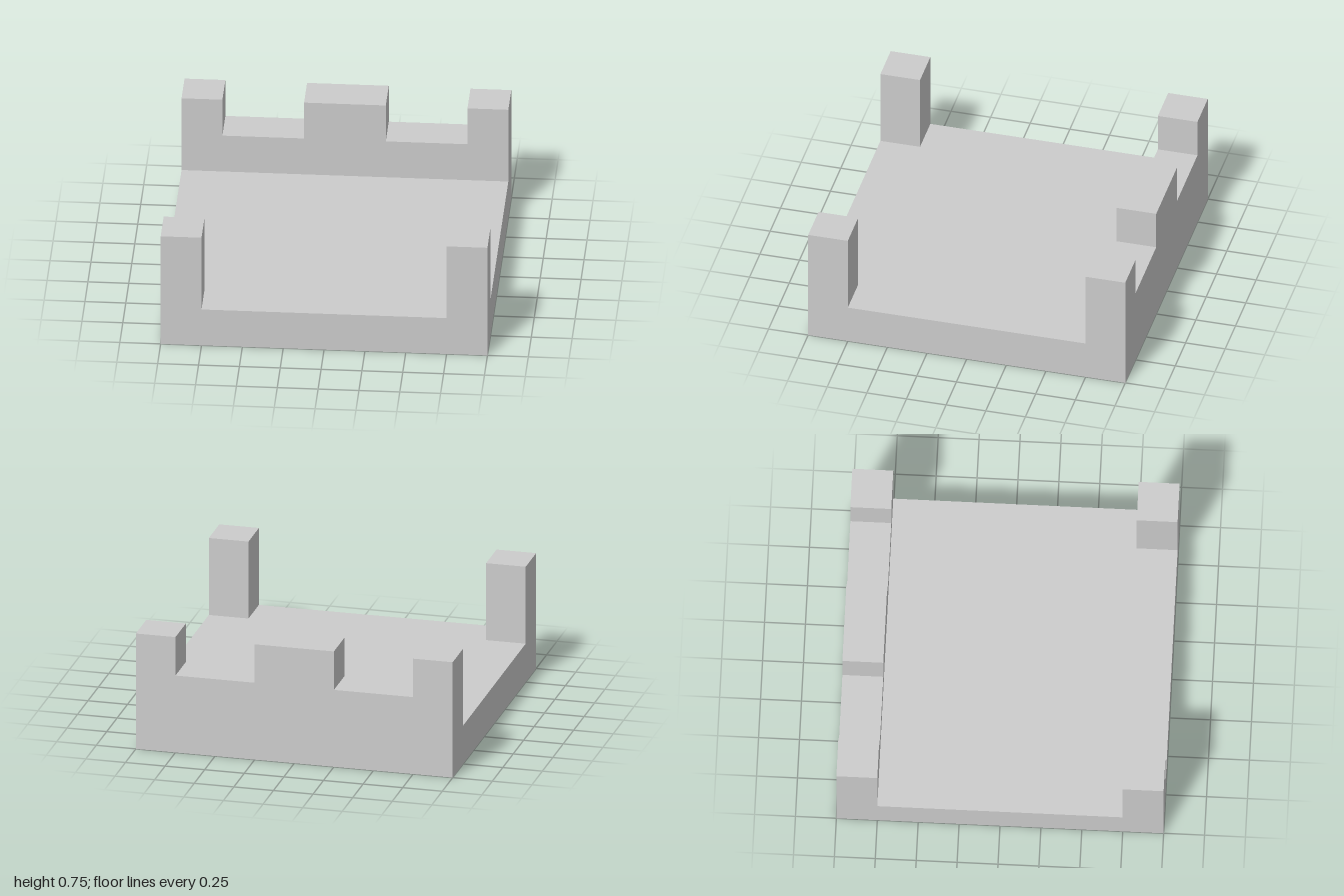
import * as THREE from 'three';

export function createModel() {
  const group = new THREE.Group();
  const material = new THREE.MeshStandardMaterial({ color: 0xcccccc, flatShading: true });
  const add = (name, geometry, x, y, z) => {
    const mesh = new THREE.Mesh(geometry, material);
    mesh.name = name;
    mesh.position.set(x, y, z);
    group.add(mesh);
  };

  const unit = 0.25; // base height, wall thickness and post width

  // Square floor slab
  add('base', new THREE.BoxGeometry(2, unit, 2), 0, unit / 2, 0);

  // Back wall with three merlons and two notches, standing on the slab
  const half = [[0.25, 0.5], [0.25, 0.25], [0.75, 0.25], [0.75, 0.5], [1, 0.5], [1, 0]];
  const outline = [...half, ...half.map(([x, y]) => [-x, y]).reverse()];
  const wall = new THREE.Shape(outline.map(([x, y]) => new THREE.Vector2(x, y)));
  add('backWall', new THREE.ExtrudeGeometry(wall, { depth: unit, bevelEnabled: false }), 0, unit, -1);

  // Front corner posts
  for (const [name, side] of [['leftFrontPost', 1], ['rightFrontPost', -1]]) {
    add(name, new THREE.BoxGeometry(unit, 0.5, unit), side * 0.875, 0.5, 0.875);
  }

  return group;
}
